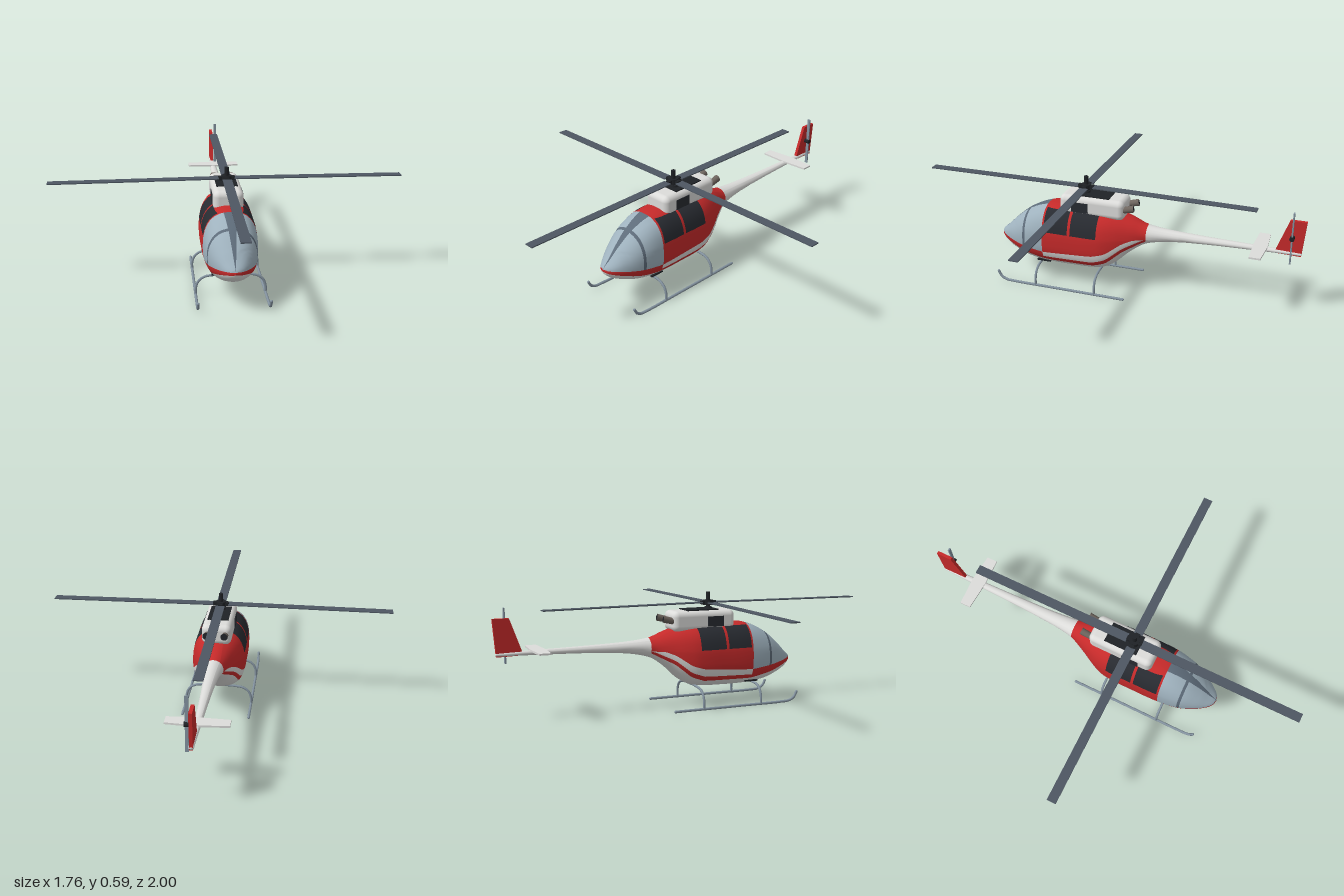
import * as THREE from 'three';
import { RoundedBoxGeometry } from 'three/addons/geometries/RoundedBoxGeometry.js';

const mat = (name, color) => Object.assign(new THREE.MeshStandardMaterial({ color }), { name });
const M = {
  red: mat('red paint', 0xc62a2a), white: mat('white paint', 0xdcdcda),
  glass: mat('pale canopy glass', 0x9fb2be), frame: mat('canopy frame', 0x5e6c7a),
  window: mat('dark window', 0x282b31), blade: mat('rotor blade', 0x4e5762),
  black: mat('black fittings', 0x1f2226), skid: mat('skid metal', 0x8493a0),
  exhaust: mat('exhaust metal', 0x6e655e),
};

// Fuselage stations: z, bottom, height of widest point, top, half width, section exponent
const STATIONS = [
  [0.597, 0.214, 0.215, 0.216, 0, 2], [0.588, 0.192, 0.214, 0.233, 0.028, 2],
  [0.56, 0.166, 0.216, 0.257, 0.056, 2.05], [0.51, 0.14, 0.22, 0.307, 0.088, 2.15],
  [0.43, 0.112, 0.23, 0.372, 0.12, 2.3], [0.32, 0.099, 0.24, 0.42, 0.134, 2.5],
  [0.18, 0.097, 0.24, 0.427, 0.137, 2.5], [0.02, 0.107, 0.245, 0.424, 0.135, 2.5],
  [-0.05, 0.14, 0.26, 0.415, 0.118, 2.4], [-0.13, 0.212, 0.29, 0.393, 0.084, 2.2],
  [-0.215, 0.266, 0.315, 0.364, 0.05, 2], [-0.4, 0.298, 0.323, 0.348, 0.031, 2],
  [-0.85, 0.316, 0.327, 0.338, 0.015, 2], [-0.985, 0.317, 0.326, 0.335, 0.012, 2],
  [-0.988, 0.326, 0.326, 0.326, 0, 2],
];
// Paint lines: z, lower red edge, lower stripe edge, upper stripe edge
const LINES = [
  [0.597, 0.208, 0.214, 0.222], [0.45, 0.162, 0.178, 0.2], [0.32, 0.135, 0.155, 0.184],
  [0.05, 0.139, 0.163, 0.202], [-0.02, 0.163, 0.186, 0.222], [-0.1, 0.23, 0.25, 0.278],
  [-0.215, 0.29, 0.303, 0.322], [-1, 0.322, 0.325, 0.328],
];

// Smooth (Hermite) or straight interpolation of a table sorted by falling z
function sample(table, z, smooth) {
  let i = 0;
  while (i < table.length - 2 && z < table[i + 1][0]) i++;
  const a = table[i], b = table[i + 1], h = b[0] - a[0];
  const t = THREE.MathUtils.clamp((z - a[0]) / h, 0, 1);
  const slope = (k, c) => {
    const p = table[Math.max(k - 1, 0)], n = table[Math.min(k + 1, table.length - 1)];
    return (n[c] - p[c]) / (n[0] - p[0]);
  };
  return a.map((v, c) => {
    if (!smooth || i === 0 || i >= table.length - 3) return v + (b[c] - v) * t;
    const t2 = t * t, t3 = t2 * t;
    return (2 * t3 - 3 * t2 + 1) * v + (t3 - 2 * t2 + t) * h * slope(i, c)
      + (3 * t2 - 2 * t3) * b[c] + (t3 - t2) * h * slope(i + 1, c);
  });
}

// Lofted fuselage and tail boom; mesh rows follow the paint lines
function fuselage() {
  const breaks = [[0.597, 1], [0.588, 4], [0.437, 10], [0.423, 1], [0.32, 6], [0.31, 1], [0.18, 6],
    [0.165, 1], [0.025, 6], [-0.215, 14], [-0.4, 8], [-0.985, 10], [-0.988, 1]];
  const zs = [0.597];
  for (let k = 1; k < breaks.length; k++) {
    const [z0] = breaks[k - 1], [z1, n] = breaks[k];
    for (let s = 1; s <= n; s++) zs.push(z0 + (z1 - z0) * s / n);
  }
  const rowCounts = [6, 2, 2, 5, 5, 3, 4];
  const bands = rowCounts.flatMap((n, b) => Array(n).fill(b));
  const R = bands.length, N = 2 * R, pos = [];

  for (const z of zs) {
    const [, yb, yw, yt, hw, n] = sample(STATIONS, z, true);
    const [, l1, l2, l3] = sample(LINES, z, false);
    const angleAt = (y) => {
      const t = THREE.MathUtils.clamp((yw - y) / Math.max(1e-5, y < yw ? yw - yb : yt - yw), -1, 1);
      return Math.acos(Math.sign(t) * Math.abs(t) ** (n / 2));
    };
    const stripe = 0.033 * Math.min(1, (0.597 - z) / 0.277);
    const ratio = Math.min(0.6, stripe / Math.max(hw, 1e-4));
    const th = [0, angleAt(l1), angleAt(l2), angleAt(l3), angleAt(0.3), angleAt(0.412),
      Math.PI - Math.asin(ratio ** (n / 2)), Math.PI];
    for (let k = 5; k > 0; k--) th[k] = Math.min(th[k], th[k + 1] - 0.03);
    for (let k = 1; k < 6; k++) th[k] = Math.max(th[k], th[k - 1] + 0.02);
    const half = [];
    rowCounts.forEach((c, b) => {
      for (let s = 0; s < c; s++) half.push(th[b] + (th[b + 1] - th[b]) * s / c);
    });
    half.push(Math.PI);
    for (let i = 0; i < N; i++) {
      const a = half[i <= R ? i : N - i], c = Math.cos(a);
      const x = hw * Math.max(0, Math.sin(a)) ** (2 / n) * (i <= R ? 1 : -1);
      const y = yw - Math.sign(c) * Math.abs(c) ** (2 / n) * (c > 0 ? yw - yb : yt - yw);
      pos.push(x, y, z);
    }
  }

  const colourOf = (z, b) => {
    if (z < -0.215 || b === 0) return 'white';
    if (z > 0.32) return b < 3 ? 'red' : b === 6 || (z > 0.423 && z < 0.437) ? 'frame' : 'glass';
    if (b === 2) return 'white';
    const inWindow = (z > 0.18 && z < 0.31) || (z > 0.025 && z < 0.165);
    return b === 4 && inWindow ? 'window' : 'red';
  };
  const buckets = { white: [], red: [], glass: [], frame: [], window: [] };
  for (let j = 0; j < zs.length - 1; j++) for (let i = 0; i < N; i++) {
    const a = j * N + i, b = j * N + (i + 1) % N, c = a + N, d = b + N;
    const band = bands[i < R ? i : N - 1 - i];
    buckets[colourOf((zs[j] + zs[j + 1]) / 2, band)].push(a, c, b, b, c, d);
  }
  const g = new THREE.BufferGeometry(), index = [], mats = [];
  g.setAttribute('position', new THREE.Float32BufferAttribute(pos, 3));
  for (const [key, list] of Object.entries(buckets)) {
    g.addGroup(index.length, list.length, mats.length);
    for (const v of list) index.push(v);
    mats.push(M[key]);
  }
  g.setIndex(index);
  g.computeVertexNormals();
  return [g, mats];
}

export function createModel() {
  const model = new THREE.Group();
  model.name = 'helicopter';
  const add = (name, geo, material, x = 0, y = 0, z = 0, parent = model) => {
    const m = new THREE.Mesh(geo, material);
    m.name = name;
    m.position.set(x, y, z);
    parent.add(m);
    return m;
  };
  const box = (w, h, d) => new THREE.BoxGeometry(w, h, d);
  const tube = (pts, r, seg) => new THREE.TubeGeometry(
    new THREE.CatmullRomCurve3(pts.map((p) => new THREE.Vector3(...p))), seg, r, 8);

  add('fuselage', ...fuselage());

  // Engine housing with side intakes, top deck and exhausts
  add('engineCowling', new RoundedBoxGeometry(0.15, 0.105, 0.345, 4, 0.03), M.white, 0, 0.443, 0.07);
  add('topDeck', box(0.106, 0.008, 0.175), M.black, 0, 0.496, 0.067);
  for (const s of [-1, 1]) {
    add('sideIntake', box(0.008, 0.052, 0.09), M.window, s * 0.074, 0.439, 0.13);
    const pipe = add('exhaustPipe', new THREE.CylinderGeometry(0.018, 0.016, 0.075, 16, 1, true),
      M.exhaust, s * 0.045, 0.452, -0.117);
    pipe.rotation.x = -Math.PI / 2 + 0.25;
    const mouth = add('exhaustMouth', new THREE.CircleGeometry(0.018, 16), M.black, 0, 0.03, 0, pipe);
    mouth.rotation.x = -Math.PI / 2;
    add('step', box(0.012, 0.008, 0.075), M.black, s * 0.088, 0.117, 0.328);
  }

  // Main rotor
  const rotor = new THREE.Group();
  rotor.name = 'mainRotor';
  rotor.position.set(0, 0.53, 0.12);
  model.add(rotor);
  add('mast', new THREE.CylinderGeometry(0.011, 0.011, 0.105, 16), M.black, 0, 0.003, 0, rotor);
  add('mastBase', new THREE.CylinderGeometry(0.02, 0.026, 0.015, 16), M.black, 0, -0.03, 0, rotor);
  add('hub', new THREE.CylinderGeometry(0.026, 0.026, 0.026, 20), M.black, 0, 0, 0, rotor);
  for (let i = 0; i < 4; i++) {
    const arm = new THREE.Group();
    arm.name = 'rotorArm';
    arm.rotation.y = i * Math.PI / 2;
    rotor.add(arm);
    add('bladeGrip', box(0.03, 0.018, 0.024), M.black, 0.026, 0, 0, arm);
    add('mainBlade', box(0.84, 0.005, 0.046), M.blade, 0.459, -0.002, 0, arm).rotation.z = -0.006;
  }

  // Tail surfaces
  const fin = new THREE.Shape([[0.858, 0.318], [0.862, 0.338], [0.92, 0.498], [1, 0.498], [0.985, 0.315]]
    .map((p) => new THREE.Vector2(...p)));
  const finGeo = new THREE.ExtrudeGeometry(fin, { depth: 0.016, bevelEnabled: false });
  finGeo.translate(0, 0, -0.008).rotateY(Math.PI / 2);
  add('tailFin', finGeo, M.red);
  const plane = new THREE.Shape([[0, 0.75], [0.145, 0.757], [0.145, 0.812], [0, 0.822],
    [-0.145, 0.812], [-0.145, 0.757]].map((p) => new THREE.Vector2(...p)));
  const planeGeo = new THREE.ExtrudeGeometry(plane, { depth: 0.009, bevelEnabled: false });
  planeGeo.rotateX(-Math.PI / 2);
  add('tailplane', planeGeo, M.white, 0, 0.333, 0);

  // Tail rotor on the left side of the fin
  add('tailRotorHub', new THREE.CylinderGeometry(0.012, 0.012, 0.03, 14), M.black, 0.021, 0.412, -0.937)
    .rotation.z = Math.PI / 2;
  add('tailRotorBlades', box(0.016, 0.267, 0.007), M.skid, 0.024, 0.412, -0.937);

  // Landing skids and cross tubes
  for (const s of [-1, 1]) {
    add('skid', tube([[-0.137, 0.008], [0, 0.008], [0.25, 0.008], [0.46, 0.008], [0.515, 0.012],
      [0.542, 0.028], [0.556, 0.054]].map(([z, y]) => [s * 0.172, y, z]), 0.007, 48), M.skid);
    add('skidRearCap', new THREE.SphereGeometry(0.007, 10, 8), M.skid, s * 0.172, 0.008, -0.137);
    add('skidFrontCap', new THREE.SphereGeometry(0.007, 10, 8), M.skid, s * 0.172, 0.054, 0.556);
  }
  const arch = [[0.172, 0.008], [0.171, 0.045], [0.158, 0.078], [0.13, 0.099], [0.085, 0.107]];
  const archPts = [...arch, ...arch.map(([x, y]) => [-x, y]).reverse()];
  for (const z of [0.345, 0.02]) {
    add('crossTube', tube(archPts.map(([x, y]) => [x, y, z]), 0.0065, 48), M.skid);
  }
  return model;
}
